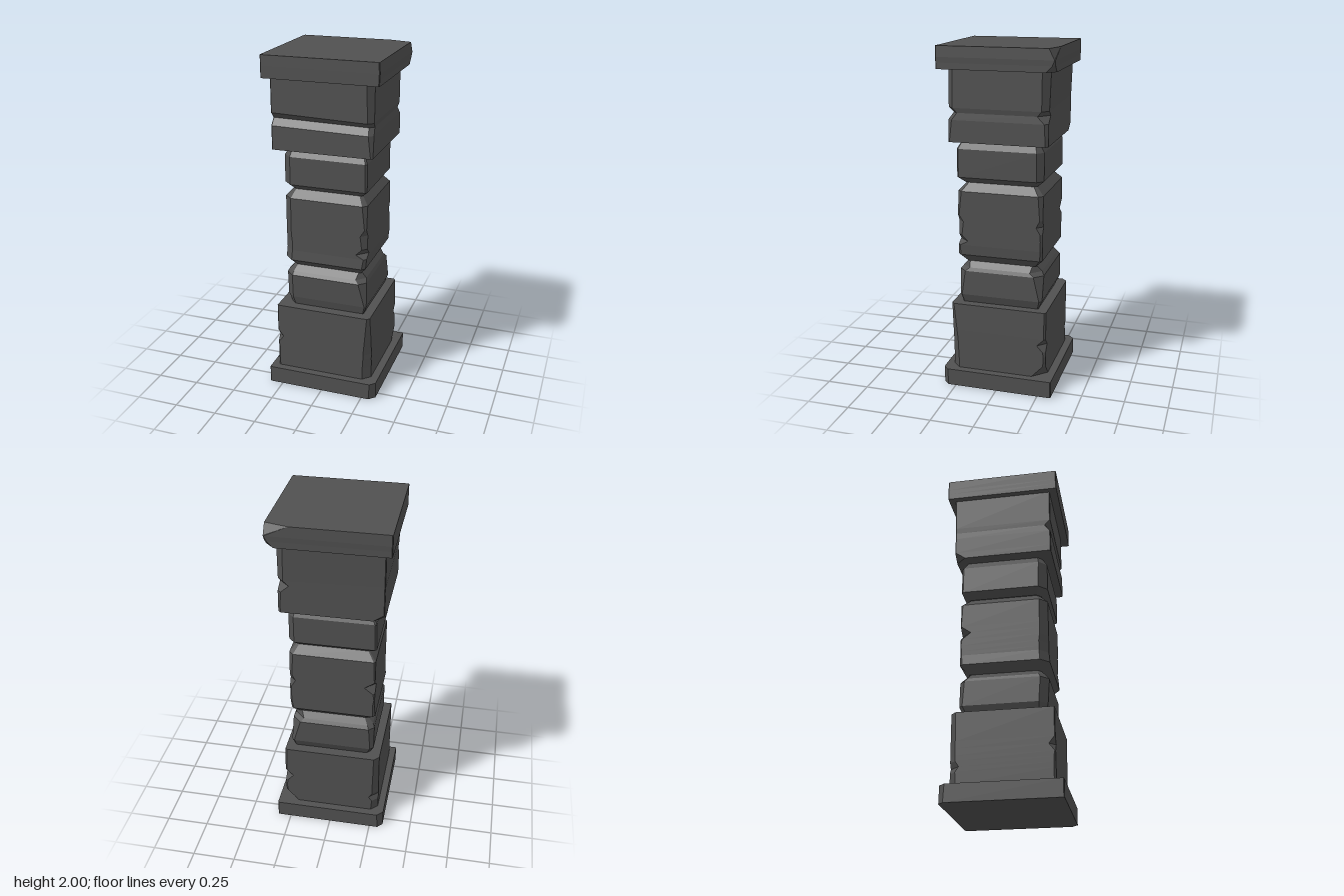
import * as THREE from 'three';

const stone = new THREE.MeshStandardMaterial({ color: 0x505050, flatShading: true });

// One horizontal section: a rectangle whose four corners are cut off.
// cuts: front-left, front-right, back-right, back-left; a number or [along x, along z].
function section([y, size, cuts, slope = 0]) {
  const [x0, x1, z0, z1] = Array.isArray(size) ? size : [-size, size, -size, size];
  const [fl, fr, br, bl] = cuts.map((c) => (Array.isArray(c) ? c : [c, c]));
  const points = [
    [x0, z1 - fl[1]], [x0 + fl[0], z1],
    [x1 - fr[0], z1], [x1, z1 - fr[1]],
    [x1, z0 + br[1]], [x1 - br[0], z0],
    [x0 + bl[0], z0], [x0, z0 + bl[1]],
  ];
  return points.map(([x, z]) => [x, y + slope * x, z]);
}

// Stone block lofted through its sections, closed at both ends
function block(name, sections) {
  const rings = sections.map(section);
  const pos = [];
  const tri = (a, b, c) => pos.push(...a, ...b, ...c);
  for (let i = 0; i < rings.length - 1; i++) {
    for (let j = 0; j < 8; j++) {
      const k = (j + 1) % 8;
      tri(rings[i][j], rings[i][k], rings[i + 1][k]);
      tri(rings[i][j], rings[i + 1][k], rings[i + 1][j]);
    }
  }
  const bottom = rings[0], top = rings[rings.length - 1];
  for (let j = 1; j < 7; j++) {
    tri(bottom[0], bottom[j + 1], bottom[j]);
    tri(top[0], top[j], top[j + 1]);
  }
  const geometry = new THREE.BufferGeometry();
  geometry.setAttribute('position', new THREE.Float32BufferAttribute(pos, 3));
  geometry.computeVertexNormals();
  const mesh = new THREE.Mesh(geometry, stone);
  mesh.name = name;
  return mesh;
}

export function createModel() {
  const group = new THREE.Group();
  group.name = 'stonePillar';
  const s = 0.004; // nearly sharp corner

  // Square foot slab
  group.add(block('baseSlab', [
    [0, 0.33, [s, 0.035, s, 0.03]],
    [0.1, 0.33, [s, 0.03, s, 0.035]],
  ]));

  // Wide lower block with chipped corners
  const low = [-0.29, 0.285, -0.285, 0.285];
  group.add(block('lowerBlock', [
    [0.1, low, [0.01, 0.045, 0.08, 0.04]],
    [0.17, low, [0.01, 0.043, 0.015, 0.035]],
    [0.2, low, [0.01, 0.042, 0.01, 0.055]],
    [0.23, low, [0.01, 0.04, 0.01, 0.035]],
    [0.26, low, [s, 0.04, 0.015, 0.035]],
    [0.3, low, [0.035, 0.037, 0.05, 0.034]],
    [0.34, low, [s, 0.033, 0.01, 0.033]],
    [0.505, [-0.29, 0.28, -0.285, 0.285], [s, 0.015, 0.01, 0.03]],
  ]));

  // Bevelled course above the lower block
  group.add(block('lowerCourse', [
    [0.5, 0.225, [0.03, s, s, 0.02]],
    [0.555, [-0.25, 0.245, -0.25, 0.24], [0.045, 0.01, 0.015, 0.02]],
    [0.7, [-0.25, 0.24, -0.25, 0.25], [0.045, 0.04, 0.05, 0.03]],
    [0.72, [-0.24, 0.23, -0.235, 0.235], [0.04, 0.05, 0.06, 0.03]],
    [0.755, 0.205, [0.02, 0.015, 0.02, 0.015]],
  ]));

  // Tall middle block
  const mid = [-0.25, 0.245, -0.25, 0.25];
  group.add(block('middleBlock', [
    [0.755, 0.205, [0.02, s, s, s]],
    [0.8, [-0.255, 0.24, -0.25, 0.255], [0.05, 0.02, 0.015, 0.015]],
    [0.86, mid, [0.05, 0.015, 0.01, 0.01]],
    [0.885, mid, [0.05, 0.06, 0.01, 0.01]],
    [0.92, mid, [0.05, 0.025, 0.01, s]],
    [0.96, mid, [0.045, 0.03, 0.012, 0.01]],
    [1.0, mid, [0.045, 0.035, 0.035, 0.06]],
    [1.04, mid, [0.045, 0.01, 0.015, s]],
    [1.18, mid, [0.045, 0.025, 0.025, 0.01]],
    [1.228, 0.205, [0.02, 0.015, 0.015, s]],
  ]));

  // Bevelled course below the upper block
  group.add(block('upperCourse', [
    [1.228, 0.21, [0.025, s, 0.02, s]],
    [1.262, [-0.255, 0.245, -0.25, 0.25], [0.05, 0.01, 0.035, 0.01]],
    [1.425, [-0.25, 0.245, -0.25, 0.25], [0.045, 0.01, 0.035, 0.01]],
    [1.475, 0.22, [0.025, s, 0.02, s]],
  ]));

  // Wide upper block, scored across the front
  const up = [-0.295, 0.285, -0.285, 0.285];
  const cut = [-0.293, 0.28, -0.285, 0.255];
  group.add(block('upperBlock', [
    [1.47, up, [s, 0.01, 0.015, 0.06]],
    [1.51, up, [s, 0.015, 0.015, s]],
    [1.6, up, [s, 0.025, 0.02, s], -0.02],
    [1.64, cut, [s, 0.025, 0.06, s], -0.02],
    [1.67, up, [s, 0.03, 0.035, s], -0.03],
    [1.88, [-0.295, 0.285, -0.292, 0.285], [s, 0.035, 0.04, s]],
  ]));

  // Square cap slab with a broken back corner
  group.add(block('capSlab', [
    [1.875, 0.33, [s, s, 0.05, s]],
    [1.91, 0.33, [s, s, 0.015, s]],
    [1.94, [-0.33, 0.332, -0.332, 0.33], [s, s, s, s]],
    [2.0, 0.33, [s, s, [0.13, 0.033], s]],
  ]));

  return group;
}
